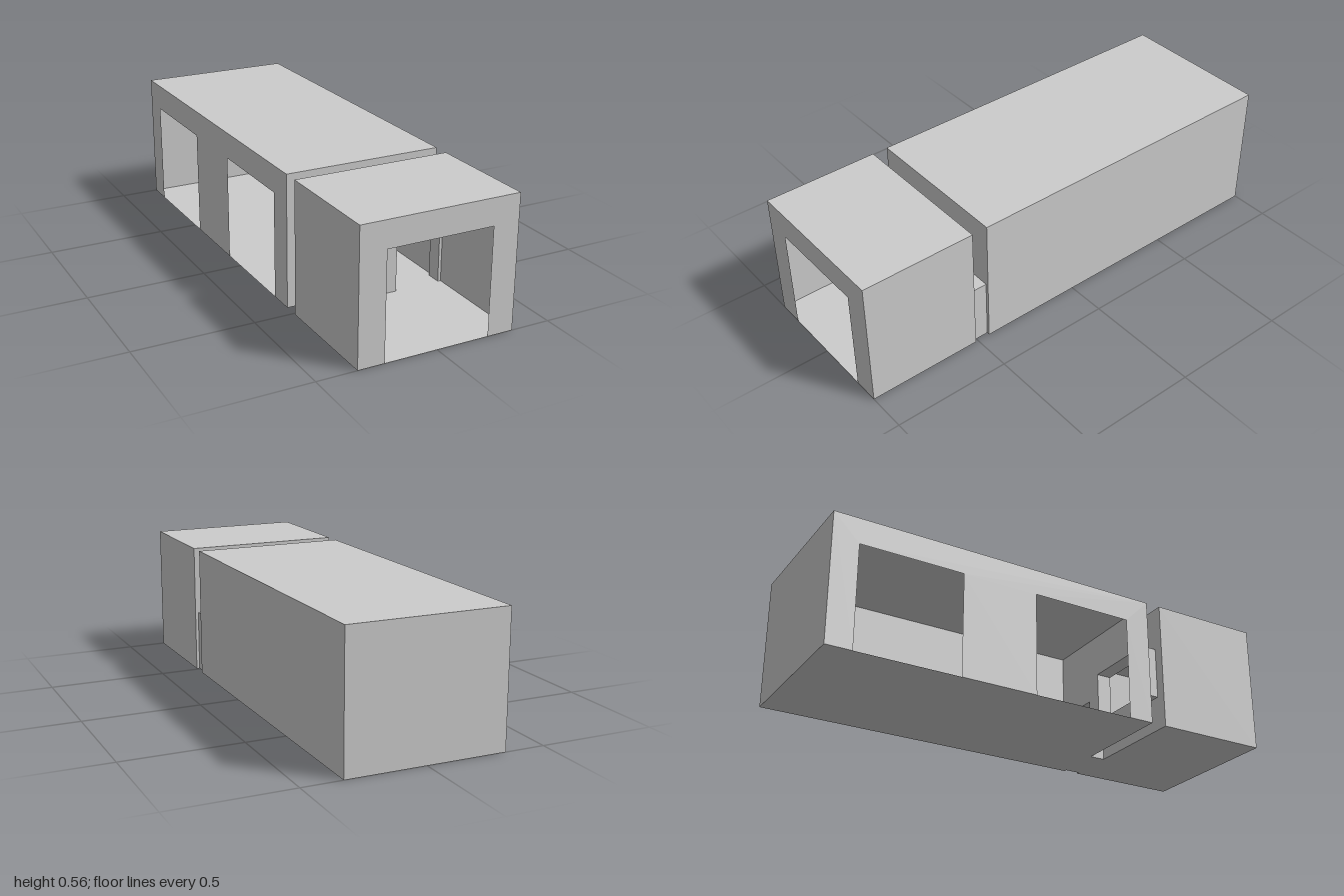
import * as THREE from 'three';

const W = 0.333, H = 0.556, DOOR_H = 0.445;
const FRONT = [0.511, 1], REAR = [-1, 0.444];
const WINDOW = [-0.29, 0.05, 0.146, 0.369]; // x0, x1, y0, y1
const HATCH = [0.12, 0.32, 0, 0.262];

const material = new THREE.MeshStandardMaterial({ color: 0xcccccc, side: THREE.DoubleSide });

// Thin sheet from (a0,b0) to (a1,b1); doors are notches in the lower edge, windows are holes
function sheet(a0, a1, b0, b1, doors = [], windows = []) {
  const s = new THREE.Shape().moveTo(a0, b0);
  for (const [d0, d1, , top] of doors) s.lineTo(d0, b0).lineTo(d0, top).lineTo(d1, top).lineTo(d1, b0);
  s.lineTo(a1, b0).lineTo(a1, b1).lineTo(a0, b1).closePath();
  for (const [x0, x1, y0, y1] of windows) {
    s.holes.push(new THREE.Path().moveTo(x0, y0).lineTo(x0, y1).lineTo(x1, y1).lineTo(x1, y0).closePath());
  }
  return new THREE.ShapeGeometry(s);
}

function add(group, name, geometry) {
  const mesh = new THREE.Mesh(geometry, material);
  mesh.name = name;
  group.add(mesh);
}

// Sheets across x, along z and level
const across = (g, z) => g.translate(0, 0, z);
const along = (g, x) => g.rotateY(-Math.PI / 2).translate(x, 0, 0);
const level = (g, y) => g.rotateX(Math.PI / 2).translate(0, y, 0);

// Floor, ceiling and both sides of a box-shaped space open at its ends
function tube(name, [x0, x1, y0, y1], [z0, z1], rightDoors = []) {
  const group = new THREE.Group();
  group.name = name;
  add(group, 'floor', level(sheet(x0, x1, z0, z1), y0));
  add(group, 'ceiling', level(sheet(x0, x1, z0, z1), y1));
  add(group, 'leftWall', along(sheet(z0, z1, y0, y1), x1));
  add(group, 'rightWall', along(sheet(z0, z1, y0, y1, rightDoors), x0));
  return group;
}

export function createModel() {
  const model = new THREE.Group();
  model.name = 'twoRoomBuilding';
  const section = [-W, W, 0, H];
  const linkWall = () => sheet(-W, W, 0, H, [HATCH], [WINDOW]);

  // Front room, entered from the front
  const front = tube('frontRoom', section, FRONT);
  add(front, 'entranceWall', across(sheet(-W, W, 0, H, [[-0.222, 0.222, 0, DOOR_H]]), FRONT[1]));
  add(front, 'partitionWall', across(linkWall(), FRONT[0]));

  // Long rear room, with two doorways on its right side
  const rear = tube('rearRoom', section, REAR, [
    [-0.889, -0.444, 0, DOOR_H],
    [-0.111, 0.333, 0, DOOR_H],
  ]);
  add(rear, 'partitionWall', across(linkWall(), REAR[1]));
  add(rear, 'backWall', across(sheet(-W, W, 0, H), REAR[0]));

  // Linings that bridge the gap between the rooms
  const gap = [REAR[1], FRONT[0]];
  model.add(front, rear, tube('windowLining', WINDOW, gap), tube('doorLining', HATCH, gap));
  return model;
}
